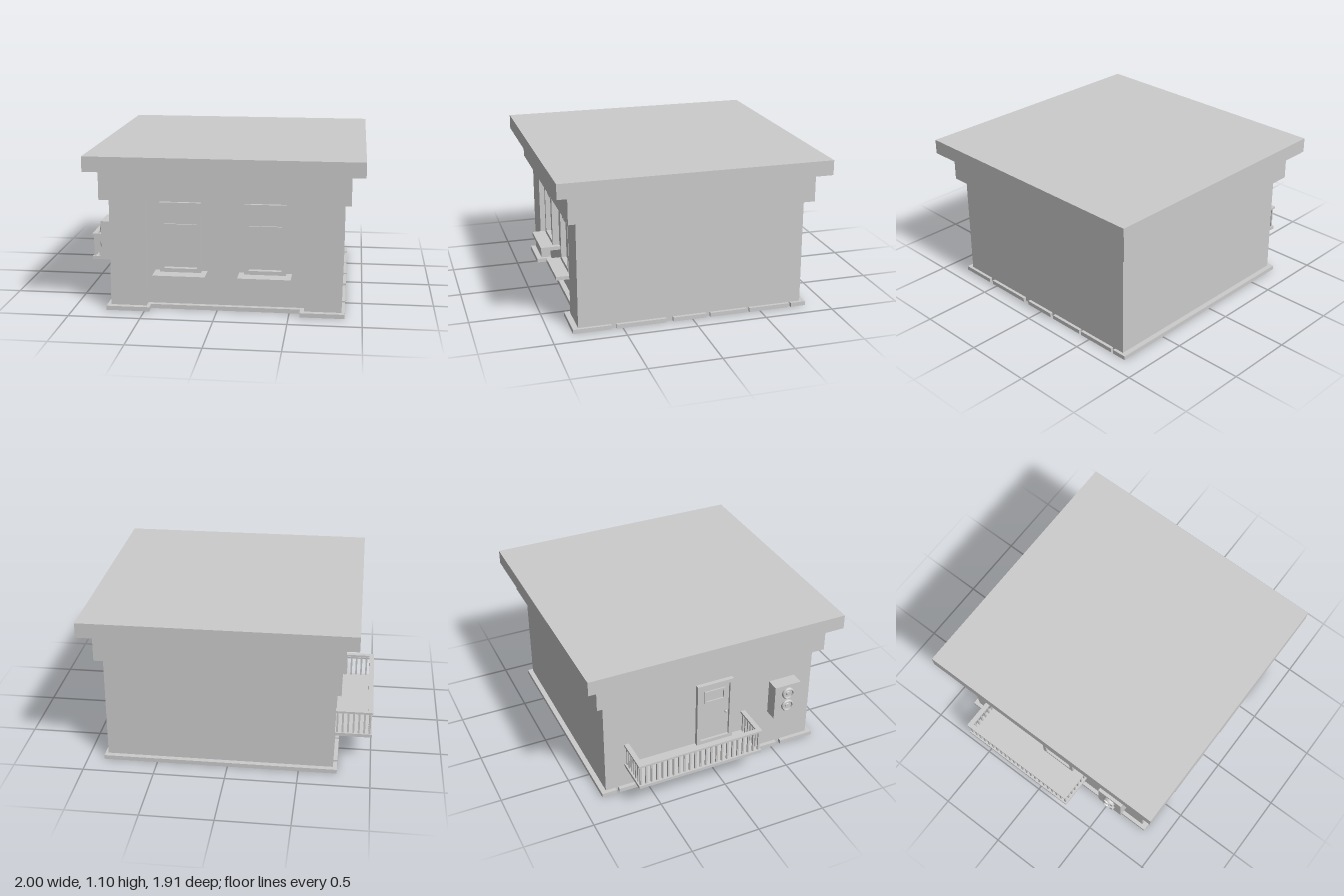
import * as THREE from 'three';

const material = new THREE.MeshStandardMaterial({ color: 0xcccccc, flatShading: true });

function add(parent, name, geometry, x = 0, y = 0, z = 0) {
  const mesh = new THREE.Mesh(geometry, material);
  mesh.name = name;
  mesh.position.set(x, y, z);
  parent.add(mesh);
  return mesh;
}

function group(parent, name) {
  const g = new THREE.Group();
  g.name = name;
  parent.add(g);
  return g;
}

// Box given by its lower and upper limits on each axis
function box(parent, name, [x0, x1], [y0, y1], [z0, z1]) {
  return add(parent, name, new THREE.BoxGeometry(x1 - x0, y1 - y0, z1 - z0),
    (x0 + x1) / 2, (y0 + y1) / 2, (z0 + z1) / 2);
}

// Floor plan of [x, z] points raised from y0 to y1
function raisePlan(parent, name, plan, y0, y1) {
  const shape = new THREE.Shape(plan.map(([x, z]) => new THREE.Vector2(x, -z)));
  const geometry = new THREE.ExtrudeGeometry(shape, { depth: y1 - y0, bevelEnabled: false });
  return add(parent, name, geometry.rotateX(-Math.PI / 2), 0, y0, 0);
}

// Rectangular frame in the xy plane with an opening, going from z = 0 to z = depth
function frameGeometry([x0, x1], [y0, y1], border, depth) {
  const rect = (target, b) => target
    .moveTo(x0 + b, y0 + b).lineTo(x1 - b, y0 + b)
    .lineTo(x1 - b, y1 - b).lineTo(x0 + b, y1 - b).closePath();
  const shape = rect(new THREE.Shape(), 0);
  shape.holes.push(rect(new THREE.Path(), border));
  return new THREE.ExtrudeGeometry(shape, { depth, bevelEnabled: false });
}

// Sash window with a projecting sill, centred on x = 0
function buildWindow(parent, x) {
  const g = group(parent, 'window');
  g.position.set(x, 0, 0.735);
  add(g, 'windowFrame', frameGeometry([-0.143, 0.143], [0.27, 0.765], 0.029, 0.05));
  box(g, 'lowerPane', [-0.114, 0.114], [0.299, 0.603], [0, 0.012]);
  box(g, 'upperPane', [-0.114, 0.114], [0.603, 0.736], [0, 0.022]);
  box(g, 'meetingRail', [-0.114, 0.114], [0.598, 0.61], [0, 0.035]);
  box(g, 'windowSill', [-0.182, 0.182], [0.245, 0.272], [0, 0.148]);
}

// Balcony with railings on its three open sides
function buildBalcony(parent) {
  const g = group(parent, 'balcony');
  const [x0, x1, z0, z1, w] = [-1, -0.74, -0.66, 0.28, 0.035];
  box(g, 'balconyFloor', [x0, x1], [0.197, 0.22], [z0, z1]);
  raisePlan(g, 'handrail', [[x0, z0], [x0, z1], [x1, z1], [x1, z1 - w],
    [x0 + w, z1 - w], [x0 + w, z0 + w], [x1, z0 + w], [x1, z0]], 0.378, 0.393);

  const baluster = new THREE.BoxGeometry(0.013, 0.158, 0.013);
  const left = x0 + w / 2, back = z0 + w / 2, front = z1 - w / 2;
  const long = 22, short = 6;
  for (let i = 0; i <= long; i++) {
    add(g, 'baluster', baluster, left, 0.299, back + (front - back) * i / long);
  }
  for (let i = 1; i <= short; i++) {
    for (const z of [back, front]) add(g, 'baluster', baluster, left + i * 0.038, 0.299, z);
  }
}

// Side door, built facing +z and turned to face -x
function buildDoor(parent) {
  const g = group(parent, 'door');
  g.position.set(-0.74, 0, 0.025);
  g.rotation.y = -Math.PI / 2;
  add(g, 'doorFrame', frameGeometry([-0.14, 0.14], [0.22, 0.73], 0.028, 0.03));
  box(g, 'doorLeaf', [-0.112, 0.112], [0.22, 0.702], [0, 0.012]);
  const pane = add(g, 'doorWindowFrame', frameGeometry([-0.08, 0.08], [0.565, 0.665], 0.014, 0.01));
  pane.position.z = 0.012;
  add(g, 'doorKnob', new THREE.SphereGeometry(0.01, 10, 8), 0.09, 0.45, 0.018);
}

// Wall unit with two round fans, facing -x
function buildVentUnit(parent) {
  const g = group(parent, 'ventilationUnit');
  box(g, 'unitCase', [-0.835, -0.74], [0.32, 0.59], [0.467, 0.67]);
  const profile = [[0, 0.012], [0.012, 0.012], [0.016, 0.006], [0.033, 0.006],
    [0.036, 0.02], [0.041, 0.02], [0.046, 0.012], [0.046, 0]];
  const fan = new THREE.LatheGeometry(
    profile.map(([r, h]) => new THREE.Vector2(r, h)).reverse(), 24).rotateZ(Math.PI / 2);
  for (const y of [0.418, 0.524]) add(g, 'fan', fan, -0.835, y, 0.568);
}

export function createModel() {
  const model = new THREE.Group();
  model.name = 'smallBuilding';

  // Walls with a shallow recess between two front piers
  raisePlan(model, 'walls', [[-0.74, -0.808], [-0.74, 0.808], [-0.49, 0.808], [-0.49, 0.735],
    [0.605, 0.735], [0.605, 0.808], [0.86, 0.808], [0.86, -0.808]], 0, 0.79);

  // Plinth: its two long sides are cut by narrow gaps
  const plinth = group(model, 'plinth');
  box(plinth, 'backPlinth', [-0.74, 0.86], [0, 0.03], [-0.845, -0.808]);
  box(plinth, 'middleFrontPlinth', [-0.465, 0.575], [0, 0.03], [0.7, 0.772]);
  box(plinth, 'pierPlinth', [-0.74, -0.465], [0, 0.03], [0.7, 0.847]);
  box(plinth, 'pierPlinth', [0.575, 0.86], [0, 0.03], [0.7, 0.847]);
  const stones = [[-0.845, -0.735], [-0.715, -0.42], [-0.4, -0.13],
    [-0.1, 0.14], [0.19, 0.545], [0.58, 0.847]];
  for (const range of stones) {
    box(plinth, 'sidePlinth', [0.86, 0.882], [0, 0.03], range);
    box(plinth, 'sidePlinth', [-0.768, -0.74], [0, 0.03], range);
  }

  // Stepped frieze and flat roof
  box(model, 'frieze', [-0.797, 0.91], [0.79, 0.998], [-0.867, 0.867]);
  box(model, 'roof', [-0.885, 1], [0.998, 1.103], [-0.953, 0.953]);

  for (const x of [-0.252, 0.333]) buildWindow(model, x);
  buildBalcony(model);
  buildDoor(model);
  buildVentUnit(model);
  return model;
}
